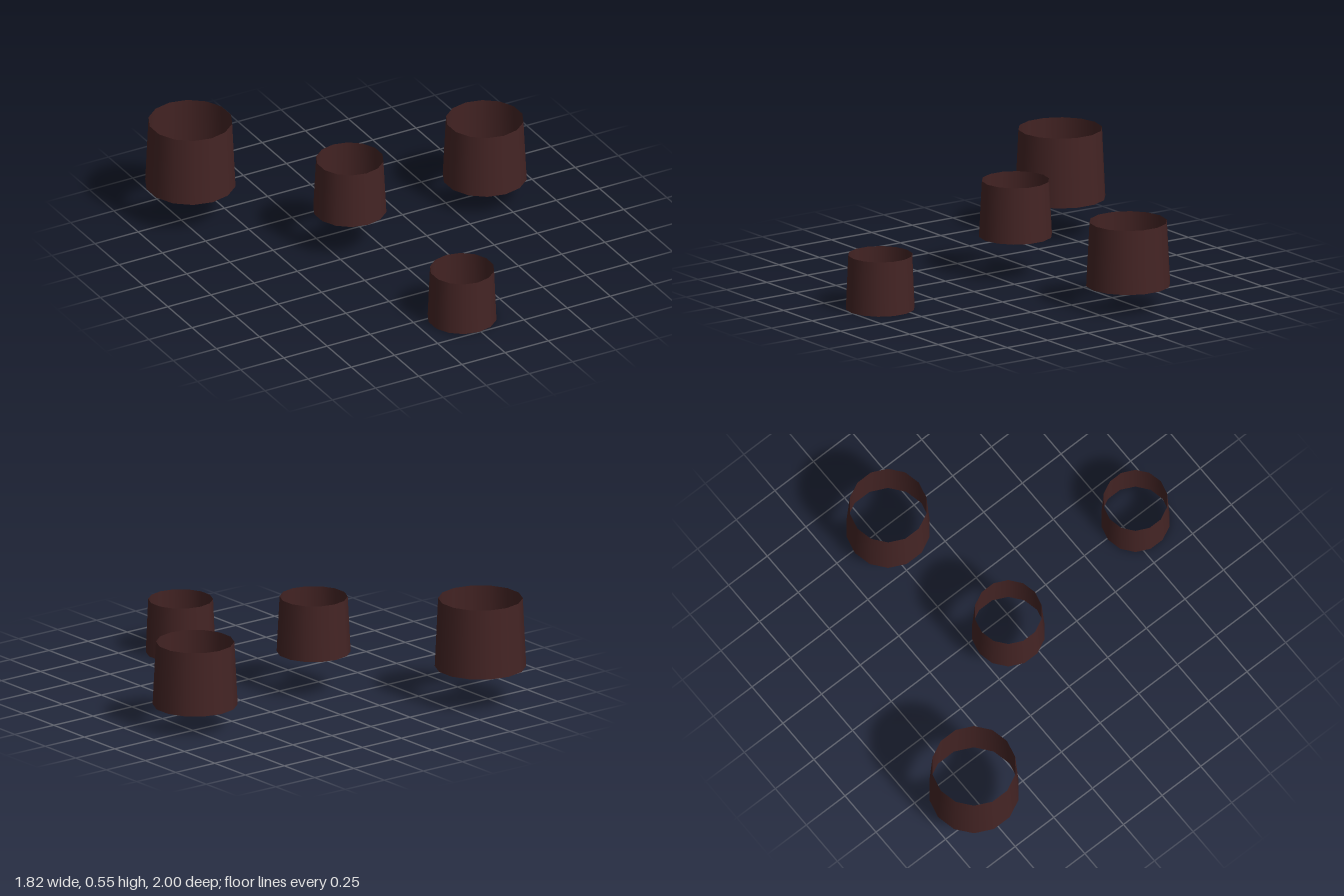
import * as THREE from 'three';

export function createModel() {
  const model = new THREE.Group();
  const darkMaroon = new THREE.MeshStandardMaterial({ color: 0x442424, side: THREE.DoubleSide });
  darkMaroon.name = 'dark maroon';

  // Open tapered sleeves: name, centre x and z, bottom y, top y, bottom radius, top radius
  const sleeves = [
    ['backRightSleeve', -0.688, -0.767, 0.19, 0.55, 0.231, 0.214],
    ['middleSleeve', -0.138, -0.103, 0.21, 0.5, 0.187, 0.172],
    ['frontSleeve', -0.009, 0.823, 0, 0.28, 0.176, 0.164],
    ['leftSleeve', 0.702, -0.207, 0.12, 0.45, 0.215, 0.198],
  ];
  for (const [name, x, z, bottom, top, rBottom, rTop] of sleeves) {
    const wall = new THREE.CylinderGeometry(rTop, rBottom, top - bottom, 14, 1, true);
    const mesh = new THREE.Mesh(wall, darkMaroon);
    mesh.name = name;
    mesh.position.set(x, (bottom + top) / 2, z);
    model.add(mesh);
  }
  return model;
}
